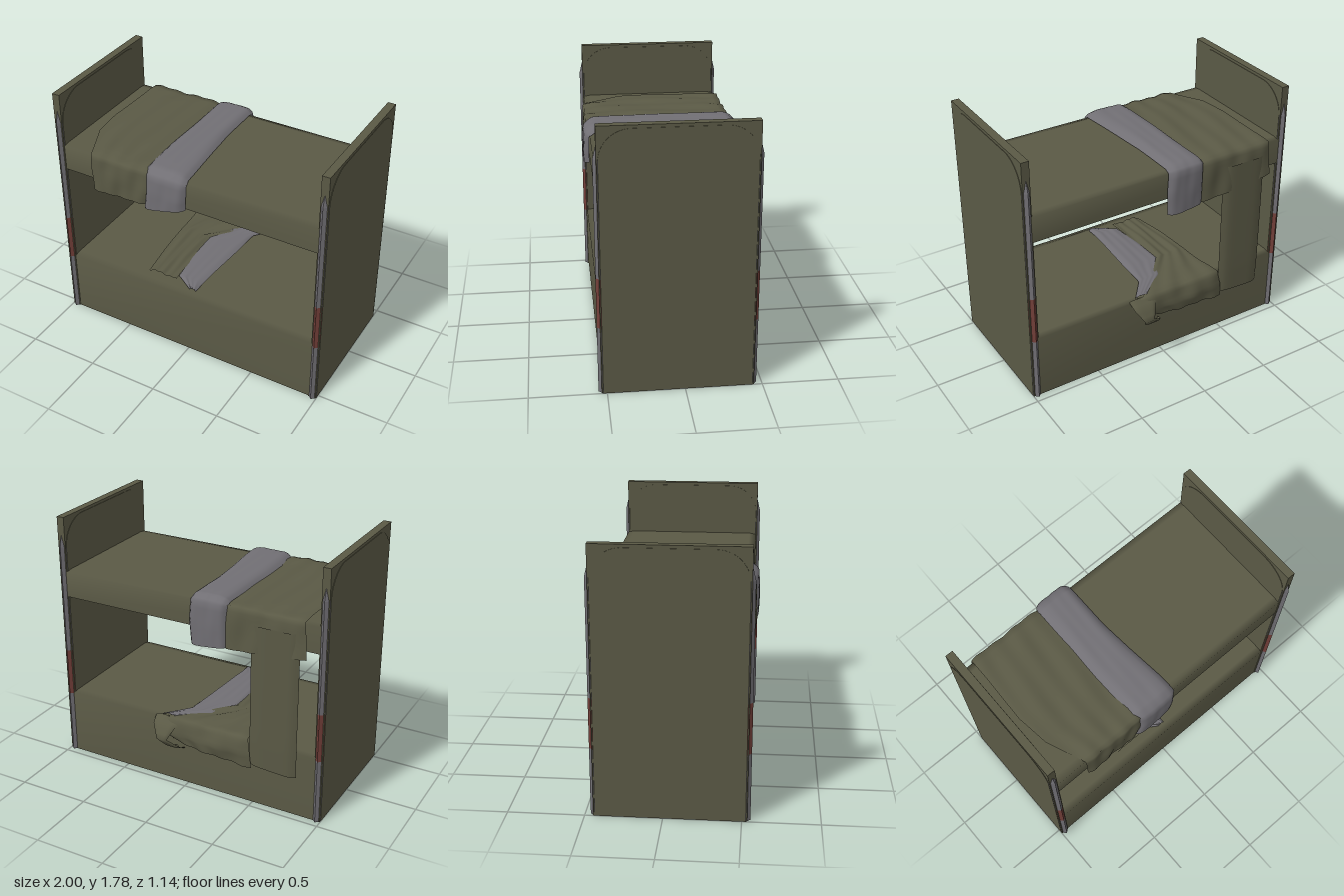
import * as THREE from 'three';

const cloth = new THREE.MeshStandardMaterial({ color: 0x5a5945, side: THREE.DoubleSide });
cloth.name = 'olive cloth';
const grey = new THREE.MeshStandardMaterial({ color: 0x716f74, side: THREE.DoubleSide });
grey.name = 'grey metal and linen';
const rust = new THREE.MeshStandardMaterial({ color: 0x733f39 });
rust.name = 'rust red';

function add(parent, name, geometry, material, x = 0, y = 0, z = 0) {
  const mesh = new THREE.Mesh(geometry, material);
  mesh.name = name;
  mesh.position.set(x, y, z);
  parent.add(mesh);
  return mesh;
}

const box = (w, h, d) => new THREE.BoxGeometry(w, h, d);

// Cloth laid along a path from the back hem to the front hem.
// Each path point is [z, y, left x, right x, extra y at the right edge].
function sheet(path, { cols = 1, steps = 1, puff = 0, wrinkle = 0 } = {}) {
  const rows = (path.length - 1) * steps;
  const at = (t) => {
    const s = THREE.MathUtils.clamp(t, 0, path.length - 1);
    const i = Math.min(Math.floor(s), path.length - 2);
    return [0, 1, 2, 3, 4].map((k) =>
      THREE.MathUtils.lerp(path[i][k] ?? 0, path[i + 1][k] ?? 0, s - i));
  };
  const pos = [], index = [];
  for (let r = 0; r <= rows; r++) {
    const t = r / steps;
    const [z, y, xl, xr, dy] = at(t);
    const a = at(t - 0.4), b = at(t + 0.4);
    const len = Math.hypot(b[0] - a[0], b[1] - a[1]) || 1;
    const nz = -(b[1] - a[1]) / len, ny = (b[0] - a[0]) / len;
    for (let c = 0; c <= cols; c++) {
      const u = c / cols;
      const fold = Math.sin(u * 17 + t * 1.7) * Math.sin(u * 7 - t * 0.9);
      const push = puff * (1 - (2 * u - 1) ** 6) + wrinkle * (0.5 + 0.5 * fold);
      pos.push(xl + (xr - xl) * u, y + dy * u + ny * push, z + nz * push);
      if (r < rows && c < cols) {
        const i = r * (cols + 1) + c, j = i + cols + 1;
        index.push(i, j, i + 1, i + 1, j, j + 1);
      }
    }
  }
  const g = new THREE.BufferGeometry();
  g.setAttribute('position', new THREE.Float32BufferAttribute(pos, 3));
  g.setIndex(index);
  g.computeVertexNormals();
  return g;
}

// Cover with side skirts and softly sloped long edges
const cover = (y0, y1) => sheet([
  [-0.445, y0], [-0.445, y1 - 0.008], [-0.4, y1], [0.48, y1], [0.53, y1 - 0.008], [0.53, y0],
].map(([z, y]) => [z, y, -0.945, 0.945]));

// Metal frame under a cover
function bedFrame(parent, y) {
  const frame = new THREE.Group();
  frame.name = 'bedFrame';
  for (const z of [-0.41, 0.495]) add(frame, 'sideRail', box(1.88, 0.08, 0.05), grey, 0, y, z);
  for (const x of [-0.915, 0.915]) add(frame, 'endRail', box(0.05, 0.08, 0.86), grey, x, y, 0.042);
  for (const x of [-0.55, 0.1, 0.6]) {
    for (const z of [-0.384, 0.469]) add(frame, 'rustPatch', box(0.09, 0.03, 0.006), rust, x, y - 0.02, z);
  }
  parent.add(frame);
}

// Arched panel lying in the z-y plane
function archGeometry() {
  const r = 0.2, w = 0.48, h = 1.76;
  const s = new THREE.Shape();
  s.moveTo(-w, 0);
  s.lineTo(w, 0);
  s.lineTo(w, h - r);
  s.absarc(w - r, h - r, r, 0, Math.PI / 2, false);
  s.absarc(-w + r, h - r, r, Math.PI / 2, Math.PI, false);
  s.lineTo(-w, 0);
  const g = new THREE.ExtrudeGeometry(s, { depth: 0.06, bevelEnabled: false, curveSegments: 10 });
  return g.translate(0, 0, -0.03).rotateY(Math.PI / 2);
}

// End board with corner posts
function endBoard(parent, x) {
  const end = new THREE.Group();
  end.name = 'endBoard';
  end.position.x = x;
  add(end, 'board', box(0.054, 1.78, 0.98), cloth, 0, 0.89, 0.045);
  add(end, 'archPanel', archGeometry(), cloth, 0, 0, 0.045);
  for (const z of [-0.436, 0.526]) {
    const section = (name, y0, y1, top, material) => add(end, name,
      new THREE.CylinderGeometry(top, 0.029, y1 - y0, 4).toNonIndexed(), material, 0, (y0 + y1) / 2, z)
      .geometry.computeVertexNormals();
    section('lowerPost', 0, 0.46, 0.029, grey);
    section('rustBand', 0.46, 0.8, 0.029, rust);
    section('upperPost', 0.8, 1.57, 0.029, grey);
    section('postTip', 1.57, 1.67, 0.005, grey);
  }
  parent.add(end);
}

export function createModel() {
  const bed = new THREE.Group();
  bed.name = 'bunkBed';
  endBoard(bed, -0.97);
  endBoard(bed, 0.97);

  // Beds
  add(bed, 'lowerCover', cover(0, 0.475), cloth);
  add(bed, 'upperCover', cover(1.21, 1.4), cloth);
  bedFrame(bed, 0.34);
  bedFrame(bed, 1.26);
  add(bed, 'slatBase', box(1.86, 0.02, 0.88), cloth, 0, 1.315, 0.042);
  for (let i = 0; i < 7; i++) {
    add(bed, 'slatRod', box(0.012, 0.012, 0.88), grey, -0.75 + i * 0.25, 1.3, 0.042);
  }

  // Blanket over the upper bed
  add(bed, 'upperBlanket', sheet([
    [-0.462, 1.16, -0.87, -0.3, -0.05],
    [-0.458, 1.28, -0.86, -0.3],
    [-0.45, 1.402, -0.85, -0.28],
    [-0.3, 1.405, -0.85, -0.27],
    [0.05, 1.405, -0.86, -0.27],
    [0.28, 1.405, -0.83, -0.27],
    [0.44, 1.405, -0.76, -0.27],
    [0.533, 1.398, -0.72, -0.26],
    [0.54, 1.27, -0.72, -0.27],
    [0.537, 1.13, -0.71, -0.29, 0.02],
  ], { cols: 40, steps: 4, puff: 0.008, wrinkle: 0.014 }), cloth);

  // Folded linen band
  add(bed, 'linenBand', sheet([
    [-0.455, 1.115, -0.31, -0.04, -0.025],
    [-0.46, 1.25, -0.31, -0.03],
    [-0.458, 1.4, -0.31, -0.04],
    [-0.42, 1.415, -0.31, -0.04],
    [-0.1, 1.412, -0.31, -0.04],
    [0.15, 1.412, -0.315, -0.02],
    [0.4, 1.412, -0.31, 0.005],
    [0.5, 1.41, -0.3, 0.01],
    [0.537, 1.385, -0.29, 0.015],
    [0.543, 1.27, -0.29, 0.01],
    [0.54, 1.12, -0.31, 0.005, 0.08],
  ], { cols: 16, steps: 4, puff: 0.035, wrinkle: 0.004 }), grey)
    .scale.z = 0.99;

  // Long cloth hanging at the back
  add(bed, 'hangingCloth', sheet([
    [-0.455, 0.29, -0.82, -0.48, 0.02],
    [-0.46, 0.5, -0.82, -0.48],
    [-0.458, 0.9, -0.82, -0.48],
    [-0.455, 1.32, -0.82, -0.48],
  ], { cols: 12, steps: 4, puff: 0.025 }), cloth);

  // Crumpled blanket on the lower bed
  const folds = { cols: 24, steps: 4, puff: 0.01, wrinkle: 0.02 };
  add(bed, 'lowerBlanket', sheet([
    [-0.46, 0.28, -0.5, 0.05, 0.04],
    [-0.475, 0.38, -0.49, 0.17],
    [-0.455, 0.478, -0.47, 0.2],
    [-0.3, 0.48, -0.44, 0.06],
    [-0.1, 0.48, -0.43, -0.17],
    [0.2, 0.48, -0.4, -0.17],
    [0.43, 0.48, -0.375, -0.15],
  ], folds), cloth);
  add(bed, 'lowerLinen', sheet([
    [-0.44, 0.485, 0.1, 0.2],
    [-0.28, 0.485, -0.1, 0.07],
    [-0.1, 0.485, -0.2, 0.06],
    [0.2, 0.485, -0.18, 0.04],
    [0.38, 0.483, -0.16, 0.03],
    [0.47, 0.48, -0.02, 0.03],
  ], { ...folds, puff: 0.014, wrinkle: 0.006 }), grey);

  // Pinched blanket corner behind the lower bed
  add(bed, 'blanketCorner', sheet([
    [-0.45, 0.28, 0.02, 0.08],
    [-0.5, 0.3, 0.03, 0.16],
    [-0.55, 0.36, 0.11, 0.19],
    [-0.5, 0.44, 0.07, 0.24],
    [-0.44, 0.482, 0.02, 0.25],
  ], { cols: 10, steps: 3, puff: 0.012 }), cloth);
  return bed;
}
